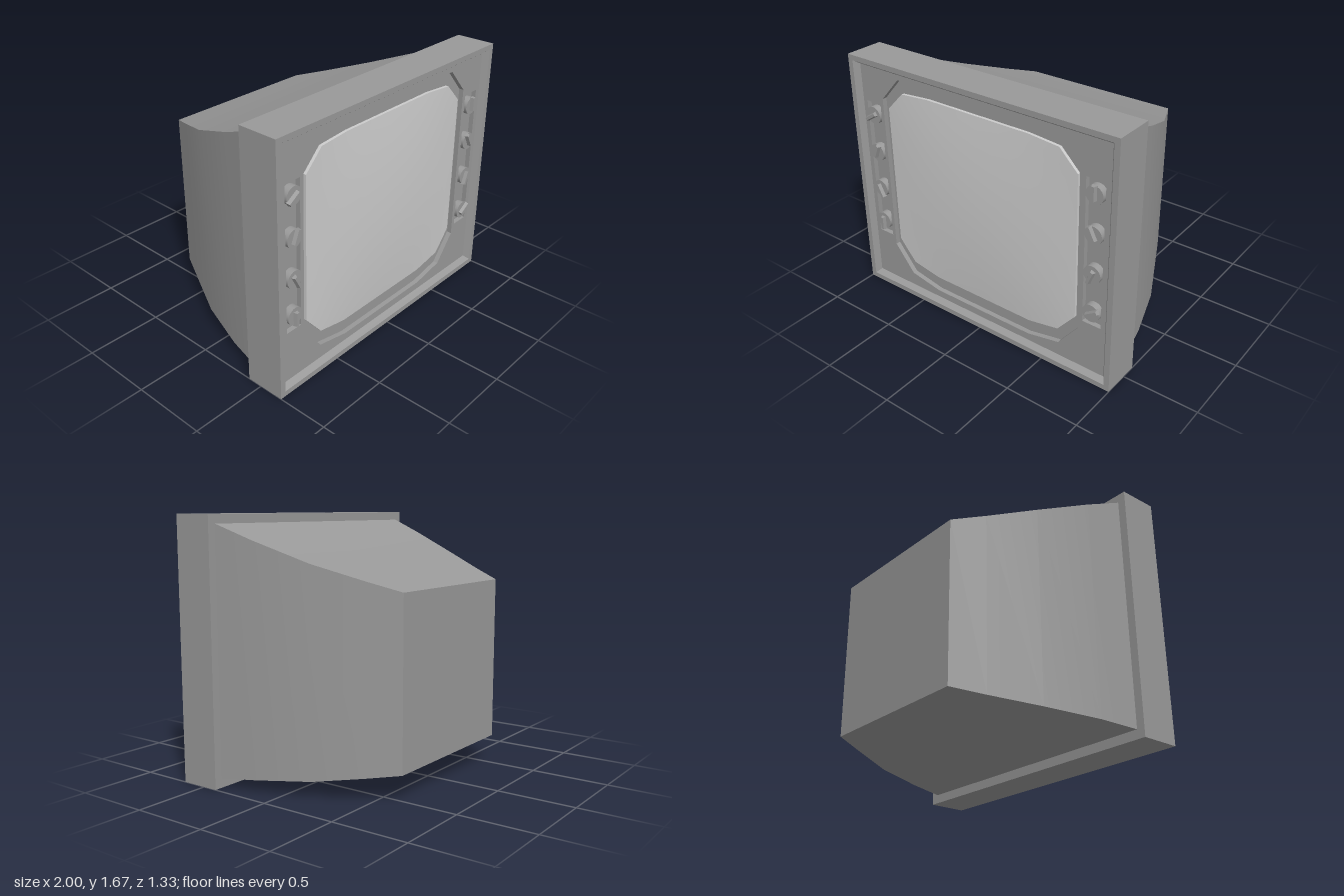
import * as THREE from 'three';
import { toCreasedNormals } from 'three/addons/utils/BufferGeometryUtils.js';

const casing = new THREE.MeshStandardMaterial({ color: 0x999999 });
const glass = new THREE.MeshStandardMaterial({ color: 0xcccccc });
const PANEL_Z = 0.63;
const FLOOR_Z = 0.598;

function add(parent, name, geometry, material = casing) {
  const mesh = new THREE.Mesh(geometry, material);
  mesh.name = name;
  parent.add(mesh);
  return mesh;
}

// Counter-clockwise rectangle ring at depth z
const rect = (x0, x1, y0, y1, z) => [[x0, y0, z], [x1, y0, z], [x1, y1, z], [x0, y1, z]];

// Skin between successive rings, with optional flat caps at either end
function loft(rings, capStart, capEnd) {
  const pos = [];
  const n = rings[0].length;
  for (let i = 0; i < rings.length - 1; i++) {
    for (let j = 0; j < n; j++) {
      const k = (j + 1) % n;
      const a = rings[i][j], b = rings[i][k], c = rings[i + 1][k], d = rings[i + 1][j];
      pos.push(...a, ...b, ...c, ...a, ...c, ...d);
    }
  }
  const first = rings[0], last = rings[rings.length - 1];
  for (let j = 1; j < n - 1; j++) {
    if (capStart) pos.push(...first[0], ...first[j + 1], ...first[j]);
    if (capEnd) pos.push(...last[0], ...last[j], ...last[j + 1]);
  }
  const g = new THREE.BufferGeometry();
  g.setAttribute('position', new THREE.Float32BufferAttribute(pos, 3));
  return toCreasedNormals(g, 0.6);
}

// Twelve-sided screen outline: half widths, then the six corner heights
function outline(w, xa, xb, [y0, y1, y2, y3, y4, y5], z) {
  return [
    [-xb, y0], [xb, y0], [xa, y1], [w, y2], [w, y3], [xa, y4],
    [xb, y5], [-xb, y5], [-xa, y4], [-w, y3], [-w, y2], [-xa, y1],
  ].map(([x, y]) => [x - 0.007, y, z]);
}

const atDepth = (ring, z) => ring.map(([x, y]) => [x, y, z]);
const pathOf = (ring, Type) => new Type(ring.map(([x, y]) => new THREE.Vector2(x, y)));

// Split every side of a ring into equal steps
function subdivide(ring, steps) {
  return ring.flatMap((p, i) => {
    const q = ring[(i + 1) % ring.length];
    return Array.from({ length: steps }, (_, s) => p.map((v, k) => v + (q[k] - v) * s / steps));
  });
}

// Round knob with an off-centre tapered grip pointing along the given angle
function makeKnob(x, y, degrees) {
  const knob = new THREE.Group();
  knob.name = 'knob';
  const disc = new THREE.CylinderGeometry(0.058, 0.058, 0.045, 24);
  disc.rotateX(Math.PI / 2);
  add(knob, 'knobDisc', disc).position.z = 0.0225;
  add(knob, 'knobGrip', loft([
    rect(-0.032, 0.062, -0.017, 0.017, 0.04),
    rect(-0.03, 0.06, -0.009, 0.009, 0.067),
  ], false, true));
  knob.position.set(x, y, FLOOR_Z);
  knob.rotation.z = THREE.MathUtils.degToRad(degrees);
  return knob;
}

export function createModel() {
  const tv = new THREE.Group();
  tv.name = 'television';

  // Front case with a bevelled rim around the recessed panel
  const panelEdge = rect(-0.937, 0.937, 0.06, 1.607, PANEL_Z);
  add(tv, 'frontCase', loft([
    rect(-1, 1, 0, 1.667, 0.4),
    rect(-1, 1, 0, 1.667, 0.667),
    rect(-0.963, 0.963, 0.035, 1.632, 0.667),
    panelEdge,
  ], true, false));

  // Tapering rear housing: [z, half width, bottom, top]
  const sections = [
    [-0.667, 0.55, 0.175, 1.235],
    [-0.47, 0.645, 0.145, 1.295],
    [-0.18, 0.785, 0.107, 1.39],
    [0.16, 0.895, 0.08, 1.518],
    [0.4, 0.945, 0.06, 1.61],
  ];
  add(tv, 'rearHousing', loft(
    sections.map(([z, w, y0, y1]) => rect(-w, w, y0, y1, z)), true, false));

  // Front panel with openings for the screen and the two knob channels
  const opening = outline(0.755, 0.61, 0.38, [0.11, 0.155, 0.335, 1.41, 1.57, 1.59], PANEL_Z);
  const channels = [[-0.905, -0.787], [0.775, 0.903]];
  const panel = pathOf(panelEdge, THREE.Shape);
  panel.holes.push(pathOf(opening, THREE.Path));
  for (const [x0, x1] of channels) {
    panel.holes.push(pathOf(rect(x0, x1, 0.4, 1.365, 0), THREE.Path));
  }
  add(tv, 'frontPanel', new THREE.ShapeGeometry(panel).translate(0, 0, PANEL_Z));

  // Screen surround: a short wall down to a flat border
  const glassEdge = outline(0.72, 0.595, 0.38, [0.205, 0.245, 0.39, 1.35, 1.477, 1.495], FLOOR_Z);
  add(tv, 'screenSurround', loft([opening, atDepth(opening, FLOOR_Z), glassEdge], false, false));

  // Gently domed glass standing on a thin rim
  const rim = subdivide(glassEdge, 4);
  const screenRings = [rim];
  for (let i = 0; i <= 12; i++) {
    const s = Math.max(1 - i / 12, 0.01);
    screenRings.push(rim.map(([px, py]) => {
      const u = (px + 0.007) * s, v = (py - 0.85) * s;
      const bulge = (1 - (u / 0.72) ** 2) * (1 - (v / 0.645) ** 2);
      return [u - 0.007, v + 0.85, 0.617 + 0.03 * bulge];
    }));
  }
  add(tv, 'screen', loft(screenRings, false, true), glass);

  // Recessed channels and their four knobs each: [y, grip angle]
  const knobs = [
    [[1.28, 213], [1.015, 68], [0.75, 297], [0.5, 270]],
    [[1.275, 90], [1.02, 117], [0.76, 248], [0.49, 33]],
  ];
  channels.forEach(([x0, x1], side) => {
    add(tv, side ? 'leftKnobChannel' : 'rightKnobChannel', loft([
      rect(x0, x1, 0.4, 1.365, PANEL_Z), rect(x0, x1, 0.4, 1.365, FLOOR_Z),
    ], false, true));
    for (const [y, angle] of knobs[side]) tv.add(makeKnob((x0 + x1) / 2, y, angle));
  });

  return tv;
}
